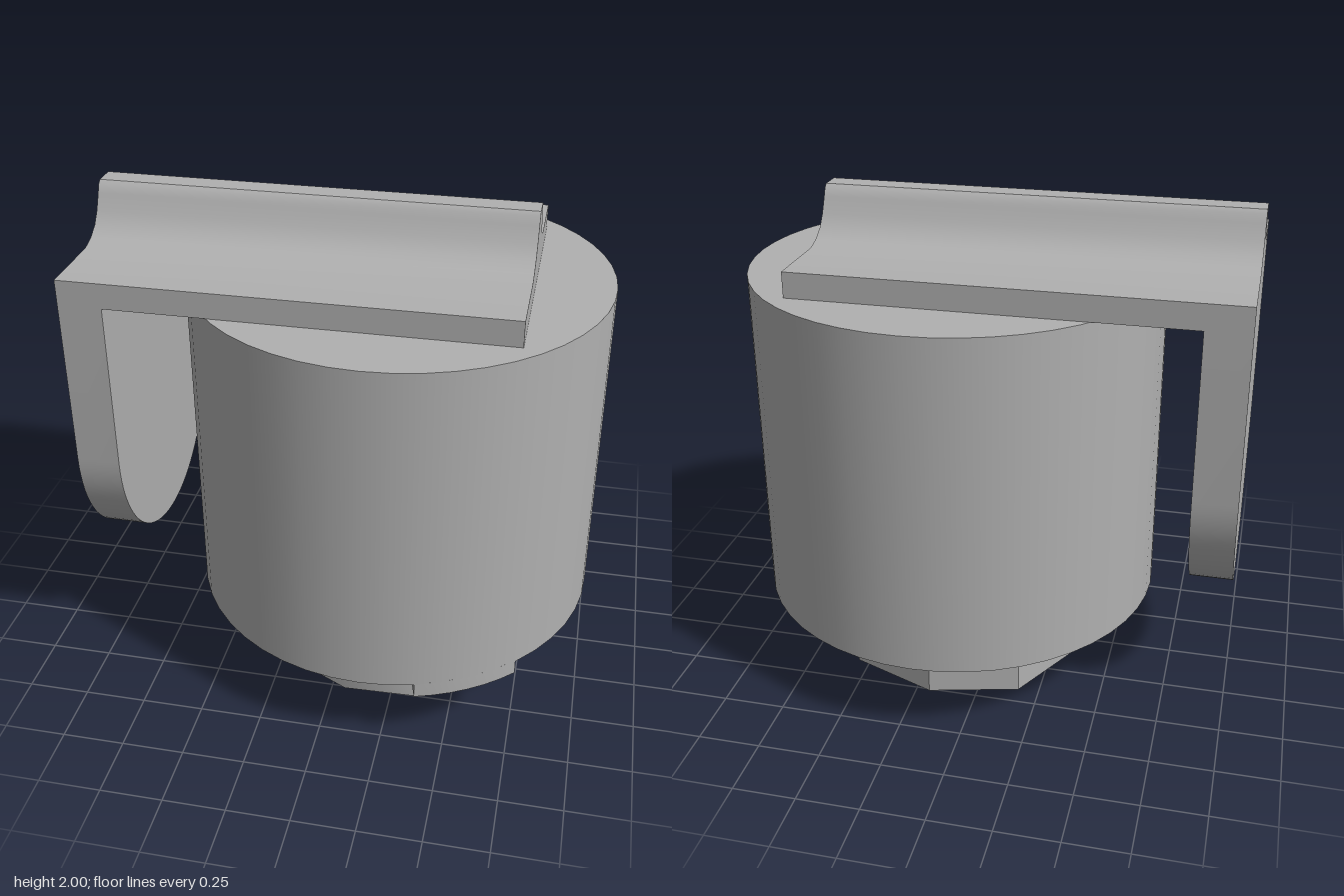
import * as THREE from 'three';
import { toCreasedNormals } from 'three/addons/utils/BufferGeometryUtils.js';

const AXIS_X = 0.175; // the round body sits off centre

// Extrude a shape, smoothing only its gentle curves
function extrude(shape, depth) {
  const geo = new THREE.ExtrudeGeometry(shape, { depth, bevelEnabled: false, curveSegments: 20 });
  return toCreasedNormals(geo, 0.6);
}

// Prism standing on y0, from plan points [x, z] around the body axis
function upright(points, y0, y1) {
  const shape = new THREE.Shape(points.map(([x, z]) => new THREE.Vector2(x, -z)));
  return extrude(shape, y1 - y0).rotateX(-Math.PI / 2).translate(AXIS_X, y0, 0);
}

// Prism running along x, from a symmetric (z, y) section
function alongX(shape, x0, x1) {
  return extrude(shape, x1 - x0).rotateY(Math.PI / 2).translate(x0, 0, 0);
}

export function createModel() {
  const model = new THREE.Group();
  const grey = new THREE.MeshStandardMaterial({ color: 0xb0b0b0 });
  grey.name = 'plain grey';
  const add = (name, geometry) => {
    const mesh = new THREE.Mesh(geometry, grey);
    mesh.name = name;
    model.add(mesh);
  };

  // Round body
  add('body', new THREE.CylinderGeometry(0.825, 0.825, 1.365, 48).translate(AXIS_X, 1.0175, 0));

  // Faceted foot
  const foot = [
    [0.545, -0.02], [0.375, -0.37], [0.02, -0.51], [-0.34, -0.42], [-0.545, -0.05],
    [-0.36, 0.39], [-0.12, 0.51], [0.18, 0.5], [0.37, 0.38],
  ];
  add('foot', upright(foot, 0, 0.34));

  // Small locating tab under the rim: a sector of a ring
  const arc = (r, a0, a1) => Array.from({ length: 7 }, (_, i) => {
    const a = THREE.MathUtils.degToRad(a0 + (a1 - a0) * i / 6);
    return [r * Math.cos(a), r * Math.sin(a)];
  });
  add('locatingTab', upright([...arc(0.824, 75, 45), ...arc(0.56, 45, 75)], 0.275, 0.34));

  // Top plate with a concave-sided ridge
  const half = [
    [0.55, 1.7], [0.55, 1.8], [0.25, 1.8], [0.19, 1.818], [0.14, 1.85],
    [0.105, 1.895], [0.075, 1.955], [0.06, 1.987], [0.045, 2],
  ];
  const section = [...half, ...half.map(([z, y]) => [-z, y]).reverse()];
  const plate = new THREE.Shape(section.map(([z, y]) => new THREE.Vector2(z, y)));
  add('ridgedTopPlate', alongX(plate, -1, 0.695));

  // Hanging flap with a rounded lower end
  const flap = new THREE.Shape();
  flap.moveTo(0.55, 1.7);
  flap.lineTo(-0.55, 1.7);
  flap.lineTo(-0.55, 1.04);
  flap.absarc(0, 1.04, 0.55, Math.PI, 2 * Math.PI, false);
  flap.closePath();
  add('hangingFlap', alongX(flap, -1, -0.83));

  return model;
}
